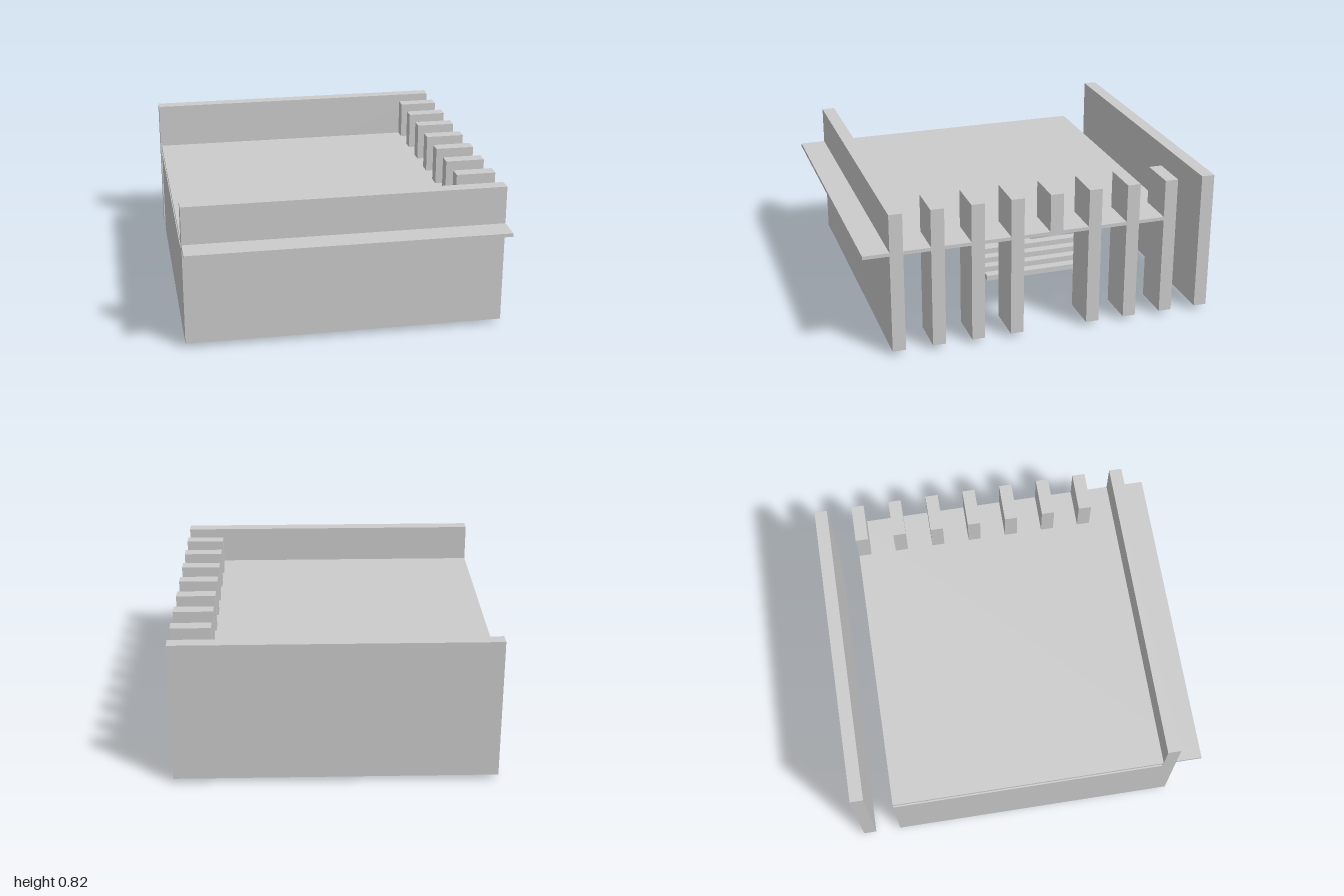
import * as THREE from 'three';

const material = new THREE.MeshStandardMaterial({ color: 0xcccccc, flatShading: true, side: THREE.DoubleSide });

// Axis-aligned block given by its lower and upper bounds
function block(name, [x0, x1], [y0, y1], [z0, z1]) {
  const mesh = new THREE.Mesh(new THREE.BoxGeometry(x1 - x0, y1 - y0, z1 - z0), material);
  mesh.position.set((x0 + x1) / 2, (y0 + y1) / 2, (z0 + z1) / 2);
  mesh.name = name;
  return mesh;
}

const HALF = 0.89, BASE = 0.025, TOP = 0.825, THICK = 0.074, PITCH = 0.2225;

// Flight descending along +x: folded treads and risers on thin stringers, open underneath
function createStair(name) {
  const stair = new THREE.Group();
  stair.name = name;
  const steps = 4, run = PITCH / steps, rise = 0.0325, length = 3 * PITCH, skin = 0.008, web = 0.02;

  const outer = [new THREE.Vector2(0, steps * rise)];
  for (let i = 0; i < steps; i++) {
    const x = (i + 1) * run, y = (steps - i) * rise;
    outer.push(new THREE.Vector2(x, y), new THREE.Vector2(x, y - rise));
  }
  const inner = outer.map((p) => new THREE.Vector2(Math.max(p.x - skin, 0), Math.max(p.y - skin, 0)));

  const extrude = (points, depth) =>
    new THREE.ExtrudeGeometry(new THREE.Shape(points), { depth, bevelEnabled: false });
  const treads = new THREE.Mesh(extrude([...outer, ...inner.reverse()], length), material);
  treads.name = 'treads';
  stair.add(treads);

  for (let i = 0; i < 4; i++) {
    const stringer = new THREE.Mesh(extrude([new THREE.Vector2(0, 0), ...outer], web), material);
    stringer.position.z = i * (length - web) / 3;
    stringer.name = 'stringer';
    stair.add(stringer);
  }
  return stair;
}

export function createModel() {
  const model = new THREE.Group();
  model.name = 'pavilion';

  // Roof slab and long walls
  model.add(block('roofSlab', [-HALF, HALF], [0.59, 0.61], [-0.78, 1]));
  model.add(block('frontWall', [-HALF, HALF], [BASE, TOP], [0.78, 0.854]));
  model.add(block('backWall', [-HALF, HALF], [BASE, TOP], [-1, -0.926]));

  // Low side wall, stopping short of the slab
  model.add(block('sideWall', [-HALF, -HALF + THICK], [BASE, 0.555], [-0.78, 0.78]));

  // Row of fins; the one over the doorway stops at the slab
  for (let i = 0; i < 7; i++) {
    const z = -0.78 + i * PITCH;
    const bottom = i === 3 ? 0.605 : BASE;
    model.add(block('fin', [HALF - PITCH, HALF], [bottom, TOP], [z, z + THICK]));
  }

  // Sunken platform between two outward-facing stairs
  model.add(block('platform', [-2 * PITCH, 0], [0, BASE], [-0.334, 0.111]));
  const nearStair = createStair('nearStair');
  nearStair.position.set(0, BASE, -0.556);
  const farStair = createStair('farStair');
  farStair.rotation.y = Math.PI;
  farStair.position.set(-2 * PITCH, BASE, 0.111);
  model.add(nearStair, farStair);

  return model;
}
